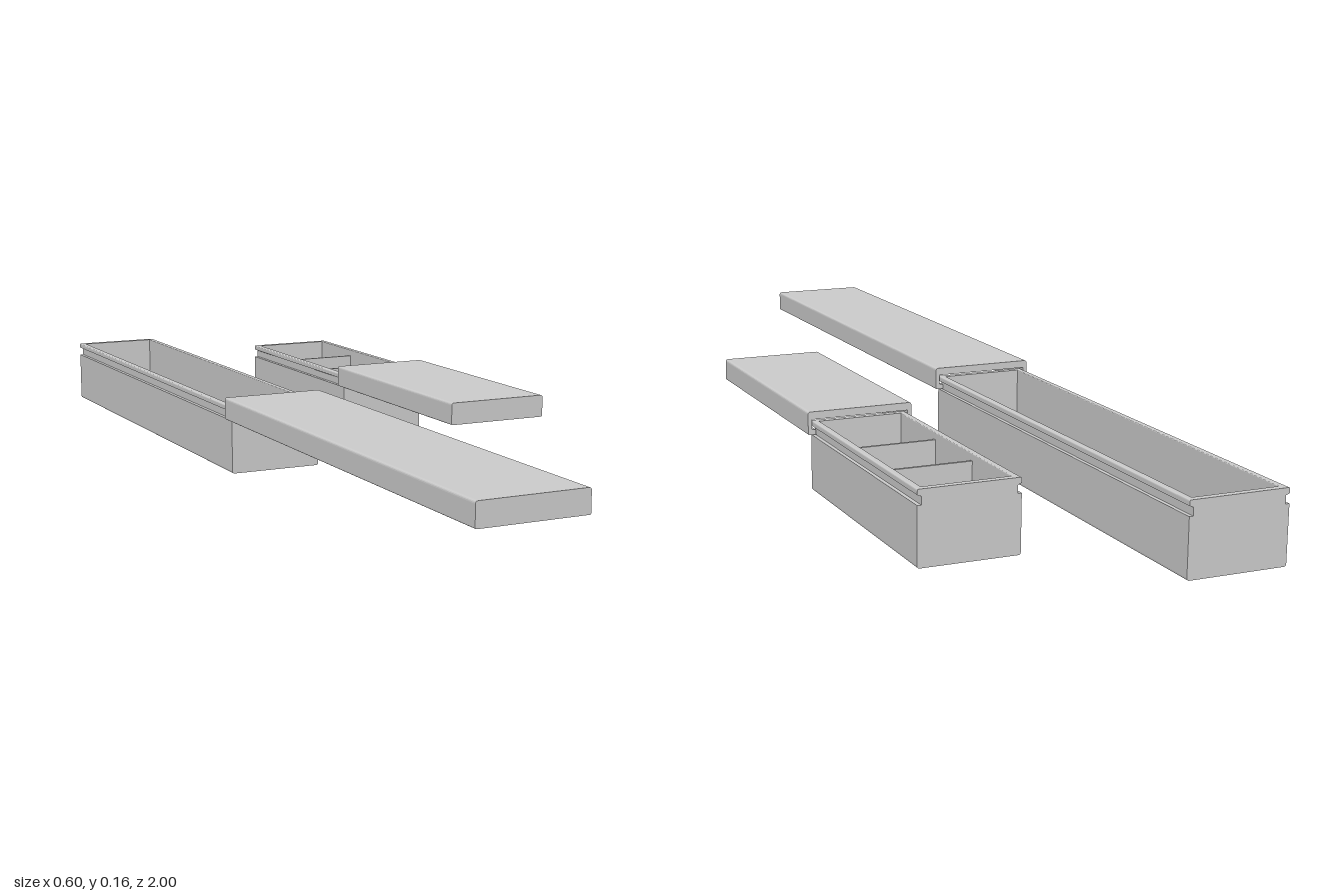
import * as THREE from 'three';

const material = new THREE.MeshStandardMaterial({ color: 0xcccccc });
const WALL = 0.013;   // thickness of end walls
const CAVITY = 0.084; // half width of the inside
const FLOOR = 0.012;

// Closed outline from [x, y, radius] corners, corners with a radius are rounded
function outline(points) {
  const shape = new THREE.Shape();
  const at = (i) => new THREE.Vector2(...points[(i + points.length) % points.length].slice(0, 2));
  points.forEach(([x, y, r = 0], i) => {
    const p = new THREE.Vector2(x, y);
    const a = at(i - 1).sub(p).setLength(r).add(p);
    const b = at(i + 1).sub(p).setLength(r).add(p);
    if (i === 0) shape.moveTo(a.x, a.y);
    else shape.lineTo(a.x, a.y);
    if (r) shape.quadraticCurveTo(x, y, b.x, b.y);
  });
  shape.closePath();
  return shape;
}

// Right half of a section, completed by mirroring across x = 0
const mirrored = (half) => outline([...half, ...half.map(([x, y, r]) => [-x, y, r]).reverse()]);

function extrude(name, shape, z0, z1) {
  const geometry = new THREE.ExtrudeGeometry(shape, { depth: z1 - z0, bevelEnabled: false, curveSegments: 4 });
  const mesh = new THREE.Mesh(geometry, material);
  mesh.name = name;
  mesh.position.z = z0;
  return mesh;
}

// Outer side of the tray, with the groove the lid slides in
const traySide = [
  [0.0965, 0, 0.005], [0.0965, 0.11], [0.089, 0.11],
  [0.089, 0.125], [0.0965, 0.128], [0.0965, 0.138, 0.003],
];

function makeTray(back, front, cells) {
  const tray = new THREE.Group();
  tray.name = 'tray';
  const channel = mirrored([...traySide, [CAVITY, 0.138, 0.002], [CAVITY, FLOOR]]);
  const solid = mirrored(traySide);
  tray.add(
    extrude('trayChannel', channel, back + WALL, front - WALL),
    extrude('trayBackWall', solid, back, back + WALL),
    extrude('trayFrontWall', solid, front - WALL, front),
  );
  // Thin dividers between equal cells
  const inner = front - back - 2 * WALL;
  for (let i = 1; i < cells; i++) {
    const divider = new THREE.Mesh(new THREE.BoxGeometry(2 * CAVITY, 0.112, 0.006), material);
    divider.name = 'divider';
    divider.position.set(0, FLOOR + 0.056, back + WALL + (inner * i) / cells);
    tray.add(divider);
  }
  return tray;
}

function makeLid(back, front) {
  const lid = new THREE.Group();
  lid.name = 'slidingLid';
  const side = [[0.1065, 0.112, 0.003], [0.1065, 0.157, 0.005]];
  // Hollow section with inward lips that run in the tray groove
  const hollow = mirrored([
    [0.0905, 0.112], ...side,
  ]);
  hollow.curves.length = 0;
  const half = [
    [0.0985, 0.142], [0.0985, 0.123], [0.0905, 0.121], [0.0905, 0.112], ...side,
  ];
  const section = mirrored(half);
  lid.add(
    extrude('lidCover', section, back, front - 0.012),
    extrude('lidEndWall', mirrored(side), front - 0.012, front),
  );
  return lid;
}

// One tray with its lid pulled out to the front
function makeBox(name, x, back, front, lidFront, cells) {
  const box = new THREE.Group();
  box.name = name;
  box.position.x = x;
  box.add(makeTray(back, front, cells), makeLid(front - 0.011, lidFront));
  return box;
}

export function createModel() {
  const model = new THREE.Group();
  model.name = 'slidingLidBoxes';
  model.add(
    makeBox('longBox', -0.191, -1, 0, 1, 1),
    makeBox('shortBox', 0.191, -0.773, -0.262, 0.249, 3),
  );
  return model;
}
